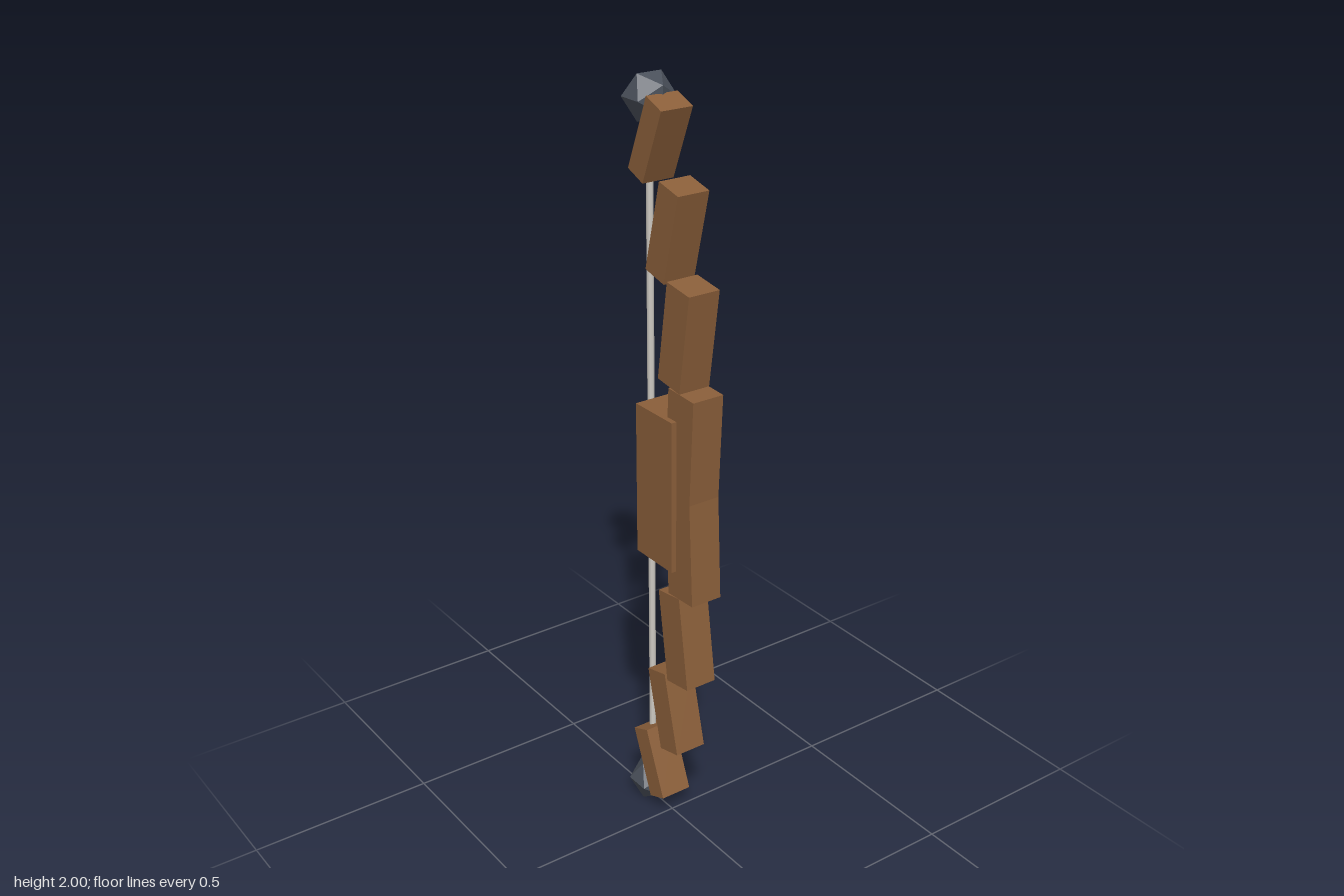
import * as THREE from 'three';

export function createModel() {
  const bow = new THREE.Group();
  bow.name = 'bow';

  const wood = new THREE.MeshStandardMaterial({ color: 0x8b5f3a });
  wood.name = 'wood';
  const iron = new THREE.MeshStandardMaterial({ color: 0x4b515b, flatShading: true });
  iron.name = 'dark iron';
  const cord = new THREE.MeshStandardMaterial({ color: 0xcfcbc4 });
  cord.name = 'pale cord';

  const midY = 1;
  const stringZ = -0.09;
  const tipOffset = 0.945;

  function add(name, geometry, material, y, z) {
    const mesh = new THREE.Mesh(geometry, material);
    mesh.name = name;
    mesh.position.set(0, y, z);
    bow.add(mesh);
    return mesh;
  }

  // Grip block
  add('grip', new THREE.BoxGeometry(0.116, 0.408, 0.149), wood, midY, 0.003);

  // Limb blocks, from grip to tip: offset from the middle, z, length, depth, tilt in degrees
  const limbBlocks = [
    [0.138, 0.088, 0.281, 0.1, 2.8],
    [0.412, 0.064, 0.256, 0.088, 8.3],
    [0.655, 0.018, 0.23, 0.076, 14],
    [0.858, -0.048, 0.196, 0.063, 22.3],
  ];

  for (const side of [1, -1]) {
    const prefix = side > 0 ? 'upper' : 'lower';
    limbBlocks.forEach(([offset, z, length, depth, tilt], i) => {
      const geometry = new THREE.BoxGeometry(0.088, length, depth);
      const block = add(`${prefix}LimbBlock${i + 1}`, geometry, wood, midY + side * offset, z);
      block.rotation.x = side * THREE.MathUtils.degToRad(tilt);
    });

    // Faceted knob at the limb tip
    add(`${prefix}Tip`, new THREE.IcosahedronGeometry(0.0646, 0), iron, midY + side * tipOffset, stringZ);
  }

  // Bowstring between the two tips
  add('bowstring', new THREE.CylinderGeometry(0.009, 0.009, 2 * tipOffset, 8), cord, midY, stringZ);

  return bow;
}
